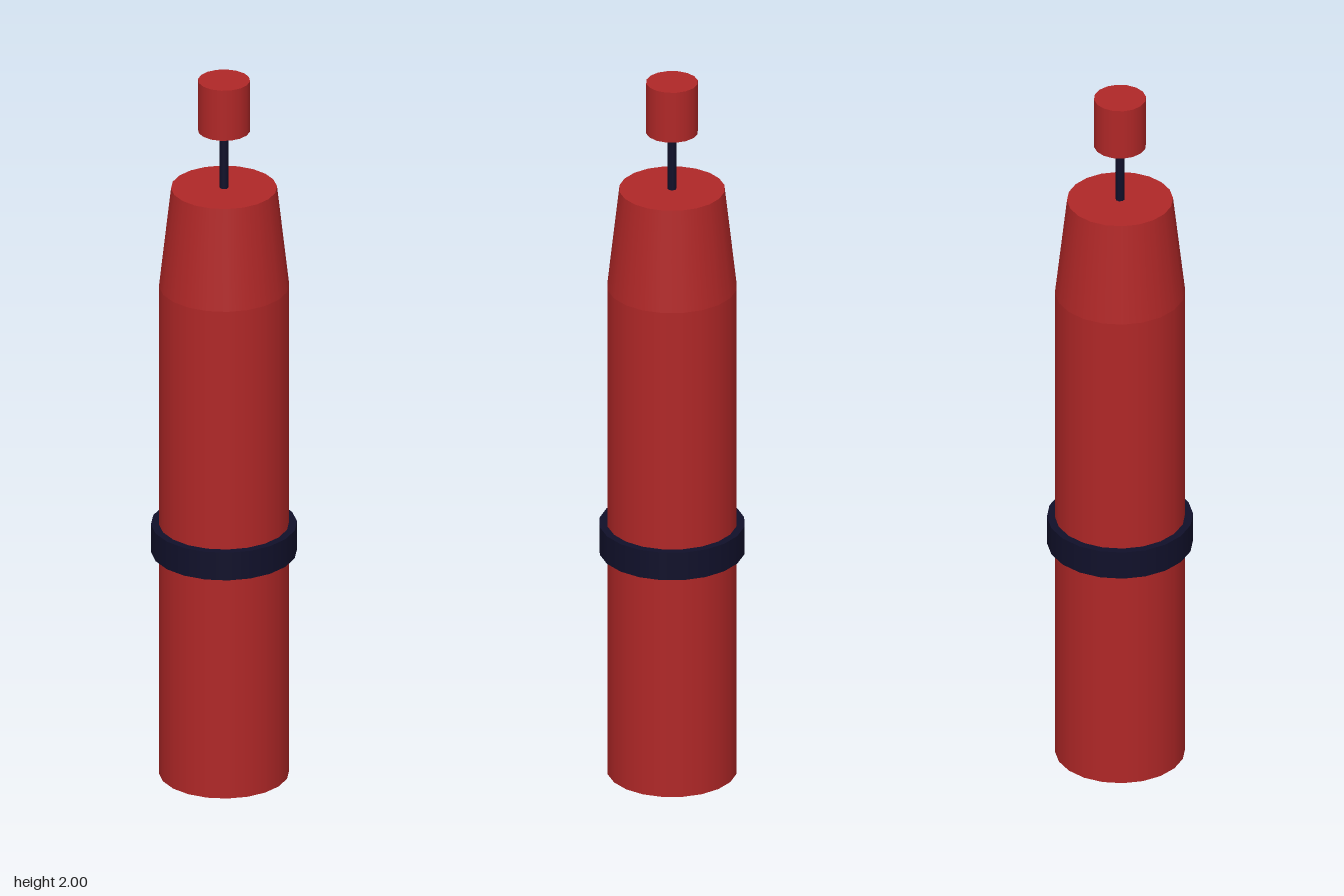
import * as THREE from 'three';

export function createModel() {
  const model = new THREE.Group();
  model.name = 'cylinderBuoy';

  const red = new THREE.MeshStandardMaterial({ color: 0xb02727 });
  red.name = 'red';
  const navy = new THREE.MeshStandardMaterial({ color: 0x10102a });
  navy.name = 'dark navy';

  // Upright round part spanning y0 to y1
  function addRound(name, material, y0, y1, bottomRadius, topRadius, sides, open = false) {
    const geometry = new THREE.CylinderGeometry(topRadius, bottomRadius, y1 - y0, sides, 1, open);
    const mesh = new THREE.Mesh(geometry, material);
    mesh.name = name;
    mesh.position.y = (y0 + y1) / 2;
    model.add(mesh);
  }

  // Main body and its tapered shoulder
  addRound('body', red, 0, 1.407, 0.172, 0.172, 20);
  addRound('shoulder', red, 1.407, 1.69, 0.172, 0.14, 20);

  // Raised dark band around the body
  addRound('band', navy, 0.64, 0.72, 0.193, 0.193, 20);

  // Thin rod carrying the small top piece
  addRound('rod', navy, 1.68, 1.86, 0.012, 0.012, 8, true);
  addRound('topCap', red, 1.855, 2, 0.069, 0.069, 16);

  return model;
}
